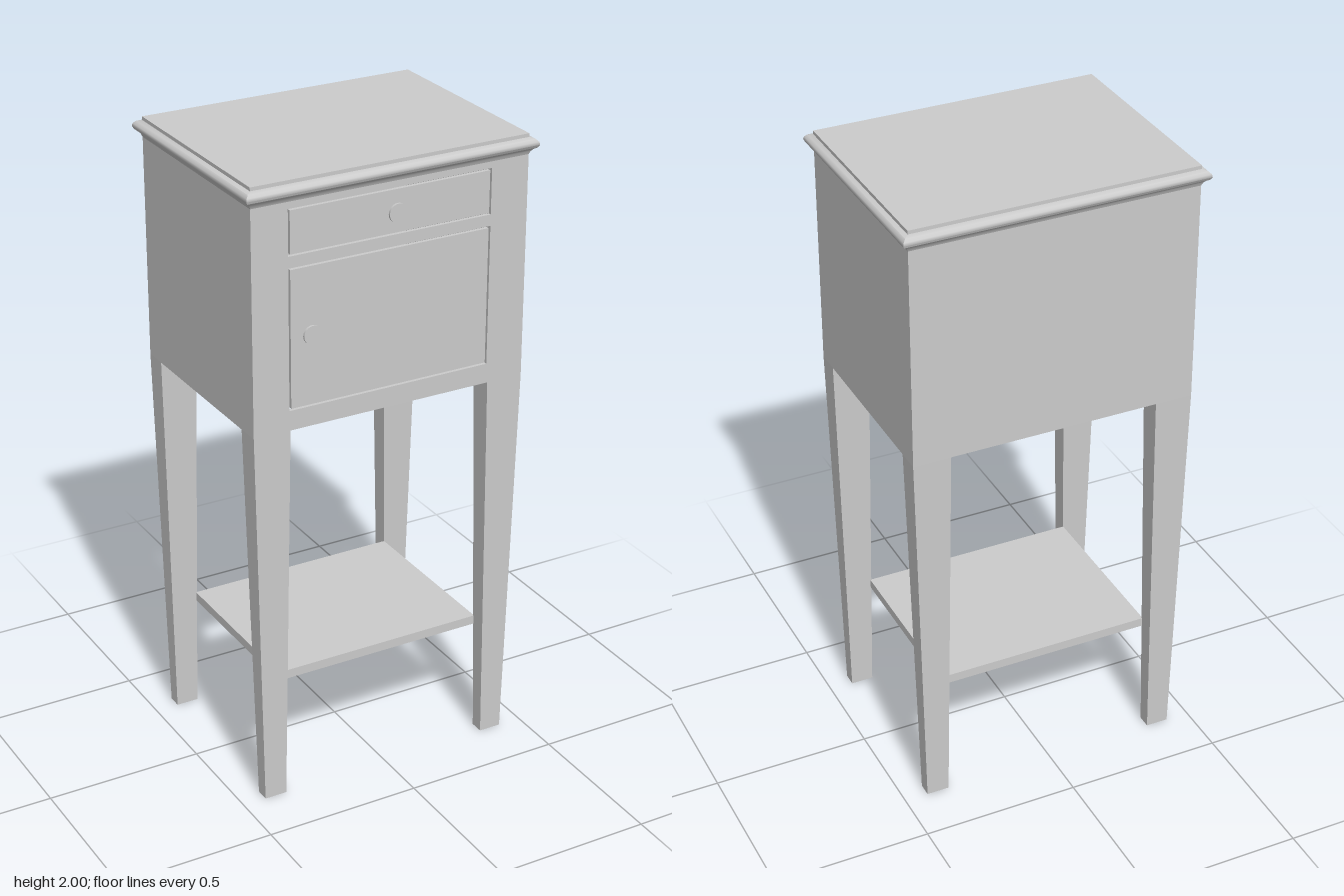
import * as THREE from 'three';
import { toCreasedNormals } from 'three/addons/utils/BufferGeometryUtils.js';

const grey = new THREE.MeshStandardMaterial({ color: 0xcccccc });
const greyOpen = new THREE.MeshStandardMaterial({ color: 0xcccccc, side: THREE.DoubleSide });

// Cabinet limits
const X = 0.452, ZF = 0.336, ZB = -0.343, BOTTOM = 1.24, BODY_TOP = 1.937;

function add(group, name, geometry, material = grey) {
  const mesh = new THREE.Mesh(geometry, material);
  mesh.name = name;
  group.add(mesh);
  return mesh;
}

// Lofts rectangular rings {y, x0, x1, z0, z1}, listed from bottom to top.
// sides: 0 front, 1 right-hand (+x), 2 back, 3 left-hand (-x); cap closes the top.
function loft(rings, { sides = [0, 1, 2, 3], cap = true } = {}) {
  const corners = rings.map(({ y, x0, x1, z0, z1 }) => [
    [x0, y, z1], [x1, y, z1], [x1, y, z0], [x0, y, z0],
  ]);
  const pos = [];
  const quad = (a, b, c, d) => pos.push(...a, ...b, ...c, ...a, ...c, ...d);
  for (let i = 0; i + 1 < corners.length; i++) {
    for (const s of sides) {
      const n = (s + 1) % 4;
      quad(corners[i][s], corners[i][n], corners[i + 1][n], corners[i + 1][s]);
    }
  }
  if (cap) quad(...corners[corners.length - 1]);
  const g = new THREE.BufferGeometry();
  g.setAttribute('position', new THREE.Float32BufferAttribute(pos, 3));
  return toCreasedNormals(g, 0.7);
}

function rectPath(path, x0, x1, y0, y1) {
  path.moveTo(x0, y0);
  path.lineTo(x1, y0);
  path.lineTo(x1, y1);
  path.lineTo(x0, y1);
  path.closePath();
  return path;
}

function createKnob(x, y) {
  const knob = new THREE.Group();
  knob.name = 'knob';
  // stem through the panel, round pull in front, small nut behind
  for (const [name, radius, z0, z1] of [
    ['knobStem', 0.006, 0.322, 0.358],
    ['knobPull', 0.029, 0.356, 0.363],
    ['knobNut', 0.011, 0.32, 0.326],
  ]) {
    const g = new THREE.CylinderGeometry(radius, radius, z1 - z0, 24);
    g.rotateX(Math.PI / 2);
    g.translate(x, y, (z0 + z1) / 2);
    add(knob, name, g);
  }
  return knob;
}

export function createModel() {
  const model = new THREE.Group();
  model.name = 'bedsideCabinet';

  // Thin side and back walls, open underneath
  const body = { x0: -X, x1: X, z0: ZB, z1: ZF };
  add(model, 'cabinetWalls', loft(
    [{ y: BOTTOM, ...body }, { y: BODY_TOP, ...body }],
    { sides: [1, 2, 3], cap: false }), greyOpen);

  // Front frame with drawer and door openings
  const thickness = 0.012, gap = 0.006;
  const openings = [
    { name: 'drawerFront', x0: -0.336, x1: 0.328, y0: 1.775, y1: 1.917, knob: [0.003, 1.849] },
    { name: 'door', x0: -0.336, x1: 0.328, y0: 1.302, y1: 1.74, knob: [-0.272, 1.535] },
  ];
  const frame = rectPath(new THREE.Shape(), -X, X, BOTTOM, BODY_TOP);
  for (const o of openings) frame.holes.push(rectPath(new THREE.Path(), o.x0, o.x1, o.y0, o.y1));
  const frameGeo = new THREE.ExtrudeGeometry(frame, { depth: thickness, bevelEnabled: false });
  frameGeo.translate(0, 0, ZF - thickness);
  add(model, 'frontFrame', frameGeo);

  // Inset drawer front and door with their knobs
  for (const o of openings) {
    const g = new THREE.BoxGeometry(o.x1 - o.x0 - 2 * gap, o.y1 - o.y0 - 2 * gap, thickness);
    g.translate((o.x0 + o.x1) / 2, (o.y0 + o.y1) / 2, ZF - thickness / 2);
    add(model, o.name, g);
    model.add(createKnob(...o.knob));
  }

  // Moulded top: [overhang, height] profile
  const profile = [
    [0, 1.937], [0.004, 1.947], [0.01, 1.954], [0.019, 1.96],
    [0.023, 1.968], [0.021, 1.977], [0.013, 1.985], [0, 1.989], [0, 2],
  ];
  add(model, 'mouldedTop', loft(profile.map(([d, y]) => (
    { y, x0: -X - d, x1: X + d, z0: ZB - d, z1: ZF + d }))), greyOpen);

  // Four tapered legs: [height, outer x, inner x, outer inset z, inner inset z]
  const legSections = [[0, 0.425, 0.353, 0.011, 0.055], [BOTTOM, X, 0.333, 0, 0.075]];
  for (const sx of [-1, 1]) {
    for (const front of [true, false]) {
      const rings = legSections.map(([y, xo, xi, zo, zi]) => ({
        y,
        x0: sx > 0 ? xi : -xo,
        x1: sx > 0 ? xo : -xi,
        z0: front ? ZF - zi : ZB + zo,
        z1: front ? ZF - zo : ZB + zi,
      }));
      add(model, (front ? 'front' : 'back') + (sx > 0 ? 'Left' : 'Right') + 'Leg',
        loft(rings, { cap: false }), greyOpen);
    }
  }

  // Low shelf between the legs, hollow underneath
  const shelf = { x0: -0.349, x1: 0.349, z0: -0.284, z1: 0.277 };
  add(model, 'shelf', loft([{ y: 0.374, ...shelf }, { y: 0.403, ...shelf }]), greyOpen);

  return model;
}
